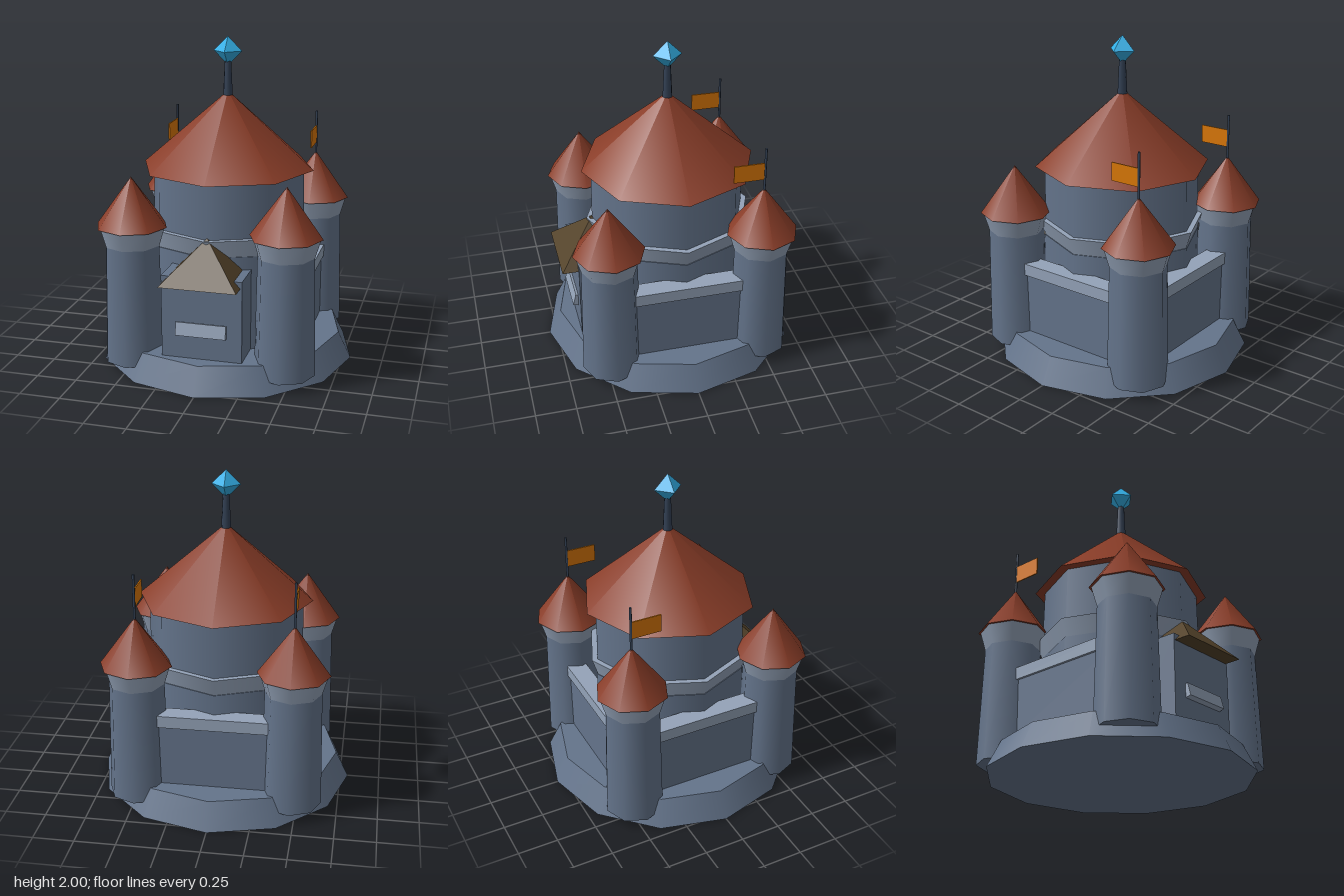
import * as THREE from 'three';

const mat = (name, color) => {
  const m = new THREE.MeshStandardMaterial({ color });
  m.name = name;
  return m;
};

export function createModel() {
  const stone = mat('stone', 0x64748b);
  const trim = mat('pale stone', 0x94a3b8);
  const tile = mat('roof tile', 0x8a3d28);
  const wood = mat('gate roof wood', 0x54432a);
  const iron = mat('dark iron', 0x334155);
  const cloth = mat('flag cloth', 0xd97706);
  const crystal = mat('crystal', 0x38bdf8);

  const castle = new THREE.Group();
  castle.name = 'castle';

  const add = (parent, name, geo, material, x = 0, y = 0, z = 0) => {
    const m = new THREE.Mesh(geo, material);
    m.name = name;
    m.position.set(x, y, z);
    parent.add(m);
    return m;
  };
  // Tapered round part spanning y0..y1
  const drum = (parent, name, material, rBottom, rTop, y0, y1, sides = 8) =>
    add(parent, name, new THREE.CylinderGeometry(rTop, rBottom, y1 - y0, sides), material, 0, (y0 + y1) / 2, 0);
  const cone = (parent, name, r, y0, y1) =>
    add(parent, name, new THREE.ConeGeometry(r, y1 - y0, 8), tile, 0, (y0 + y1) / 2, 0);

  // Sloping base
  drum(castle, 'base', stone, 0.8, 0.72, 0, 0.165, 12);

  // Central keep with flared ring, roof and crystal finial
  const keep = new THREE.Group();
  keep.name = 'keep';
  castle.add(keep);
  drum(keep, 'keepLower', stone, 0.5, 0.49, 0.15, 0.75);
  drum(keep, 'keepRing', trim, 0.485, 0.52, 0.75, 0.86);
  drum(keep, 'keepUpper', stone, 0.485, 0.48, 0.86, 1.21);
  cone(keep, 'keepRoof', 0.54, 1.2, 1.67);
  drum(keep, 'finialPost', iron, 0.03, 0.02, 1.64, 1.86);
  const gem = add(keep, 'finialCrystal', new THREE.OctahedronGeometry(0.088), crystal, 0, 1.912, 0);
  gem.material.flatShading = true;

  // Corner towers; the rear pair carries flags
  for (const sx of [-1, 1]) {
    for (const sz of [-1, 1]) {
      const tower = new THREE.Group();
      tower.name = 'cornerTower';
      tower.position.set(sx * 0.47, 0, sz * 0.47);
      castle.add(tower);
      drum(tower, 'towerBody', stone, 0.185, 0.17, 0.07, 0.8);
      drum(tower, 'towerFlare', trim, 0.17, 0.205, 0.8, 0.92);
      cone(tower, 'towerRoof', 0.218, 0.915, 1.215);
      if (sz < 0) {
        drum(tower, 'flagPole', iron, 0.008, 0.008, 1.18, 1.48, 6);
        add(tower, 'flag', new THREE.BoxGeometry(0.008, 0.11, 0.19), cloth, 0, 1.33, 0.095);
      }
    }
  }

  // Curtain walls on the two sides and the back
  for (const angle of [Math.PI / 2, Math.PI, -Math.PI / 2]) {
    const wall = new THREE.Group();
    wall.name = 'curtainWall';
    wall.rotation.y = angle;
    castle.add(wall);
    add(wall, 'wallBody', new THREE.BoxGeometry(0.9, 0.4, 0.09), stone, 0, 0.355, 0.5);
    add(wall, 'parapet', new THREE.BoxGeometry(0.9, 0.075, 0.12), trim, 0, 0.5875, 0.5);
  }

  // Gatehouse with pyramid roof and sloping ledge
  const gate = new THREE.Group();
  gate.name = 'gatehouse';
  castle.add(gate);
  add(gate, 'gateBody', new THREE.BoxGeometry(0.49, 0.51, 0.3), stone, 0, 0.415, 0.47);
  const pyramid = new THREE.ConeGeometry(0.235 * Math.SQRT2, 0.245, 4).rotateY(Math.PI / 4).toNonIndexed();
  pyramid.computeVertexNormals();
  add(gate, 'gateRoof', pyramid, wood, 0, 0.7525, 0.485);
  const ledge = add(gate, 'gateLedge', new THREE.BoxGeometry(0.305, 0.08, 0.04), trim, 0, 0.35, 0.625);
  ledge.rotation.x = -0.25;

  return castle;
}
